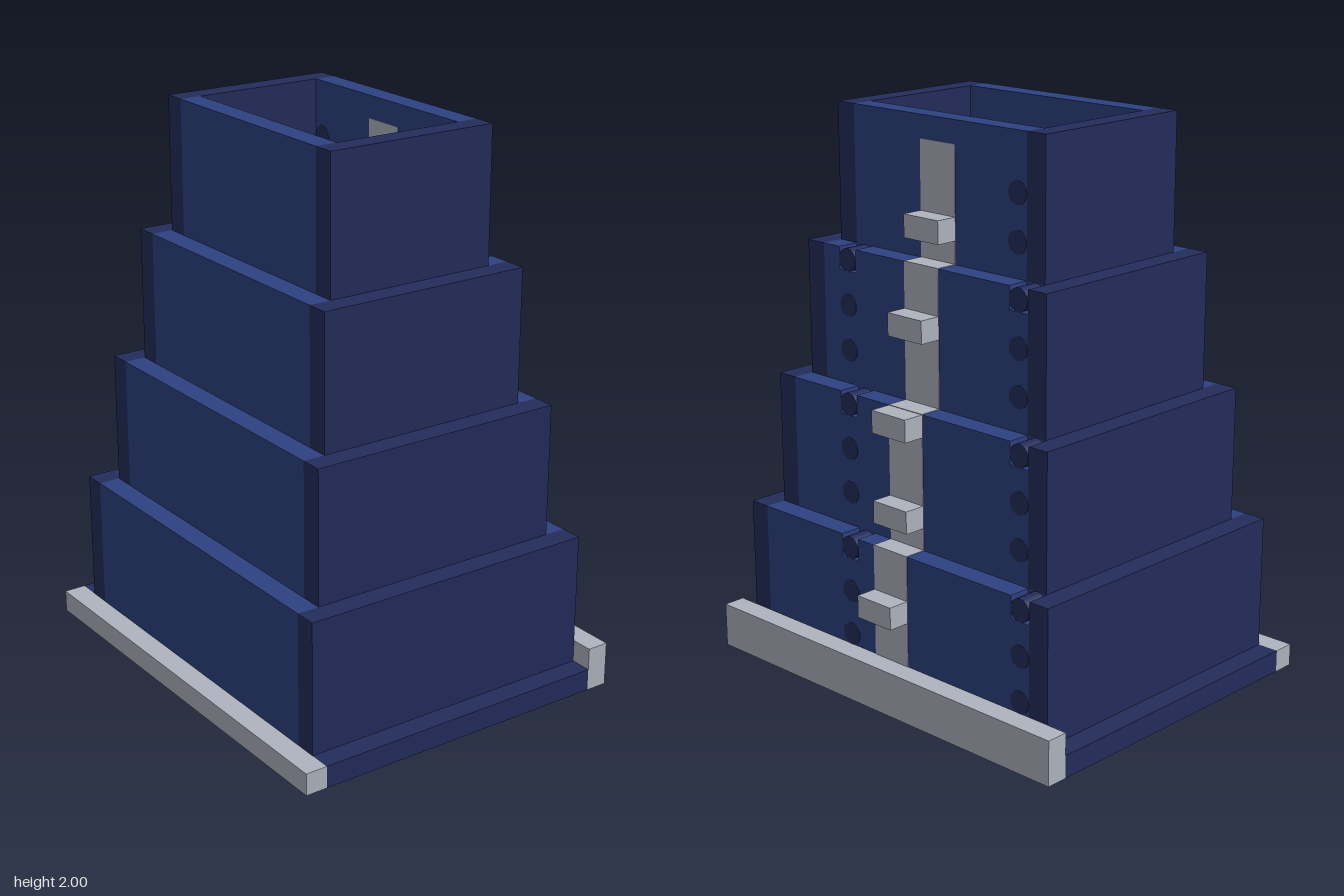
import * as THREE from 'three';

export function createModel() {
  const model = new THREE.Group();
  model.name = 'steppedTower';
  const mat = (name, color) => Object.assign(new THREE.MeshStandardMaterial({ color }), { name });
  const blue = mat('blue', 0x2d4182);
  const navy = mat('navy', 0x232c5b);
  const grey = mat('grey', 0xaeb4bf);
  const U = 0.08; // grid unit: wall thickness, rail depth, rod diameter
  const E = 0.002; // small overlap that lifts inlaid parts off the wall

  // Box given by its limits on each axis
  function box(name, material, x0, x1, y0, y1, z0, z1, parent = model) {
    const mesh = new THREE.Mesh(new THREE.BoxGeometry(x1 - x0, y1 - y0, z1 - z0), material);
    mesh.position.set((x0 + x1) / 2, (y0 + y1) / 2, (z0 + z1) / 2);
    mesh.name = name;
    parent.add(mesh);
  }

  // Rectangular ring with a rectangular opening, standing from y0 to y1
  function ring(name, material, hx, hz, ix, iz, y0, y1, parent = model) {
    const rect = (C, a, b) => new C([[-a, -b], [a, -b], [a, b], [-a, b]].map(p => new THREE.Vector2(...p)));
    const shape = rect(THREE.Shape, hx, hz);
    shape.holes.push(rect(THREE.Path, ix, iz));
    const geo = new THREE.ExtrudeGeometry(shape, { depth: y1 - y0, bevelEnabled: false });
    geo.rotateX(-Math.PI / 2);
    const mesh = new THREE.Mesh(geo, material);
    mesh.position.y = y0;
    mesh.name = name;
    parent.add(mesh);
  }

  // Base plate, shaft lining and rails
  ring('basePlate', navy, 0.8, 0.56, 0.405, 0.245, 0, U);
  ring('baseLining', blue, 0.405, 0.245, 0.4, 0.24, 0, U);
  box('frontRail', grey, -0.8, 0.8, 0, U, 0.56, 0.64);
  box('backRail', grey, -0.8, 0.8, 0, 2 * U, -0.64, -0.56);

  // Four tiers, each one unit narrower all round than the one below
  const rodGeo = new THREE.CylinderGeometry(U / 2, U / 2, U + 2 * E, 24).rotateX(Math.PI / 2);
  for (let i = 0; i < 4; i++) {
    const tier = new THREE.Group();
    tier.name = 'tier' + (i + 1);
    model.add(tier);
    const hx = 0.72 - i * U, hz = 0.56 - i * U;
    const ix = hx - U, iz = hz - U;
    const y0 = U + i * 0.48, y1 = y0 + 0.48;
    const last = i === 3;

    // Walls
    for (const s of [-1, 1]) {
      const c = s * (hx - U / 2);
      box('sideWall', navy, c - U / 2, c + U / 2, y0, y1, -hz, hz, tier);
    }
    box('frontWall', blue, -ix, ix, y0, y1, iz, hz, tier);
    box('backWall', blue, -ix, ix, y0, y1 - U, -hz, -iz, tier);
    if (!last) ring('core', blue, ix, iz, 0.4, 0.24, y0, y1, tier);

    // Top course of the back wall, open where a rod lies in it
    const slot = 0.16 + i * U;
    const spans = last ? [[-ix, ix]] : [[-ix + U, slot], [slot + U, ix]];
    for (const [a, b] of spans) box('backWallTop', blue, a, b, y1 - U, y1, -hz, -iz, tier);

    // Round rods through the back wall, in two columns
    const columns = last ? [-ix + U / 2] : [-ix + U / 2, slot + U / 2];
    for (const x of columns) {
      for (let k = last ? 1 : 0; k < 3; k++) {
        const rod = new THREE.Mesh(rodGeo, navy);
        rod.position.set(x, y1 - U / 2 - k * 2 * U, -hz + U / 2);
        rod.name = 'rod';
        tier.add(rod);
      }
    }

    // Grey strap set into the back wall
    box('strap', grey, -U, U, y0, last ? y1 - U : y1 + E, -hz - E, -iz + E, tier);
  }

  // Climbing steps on the strap
  [[0.32, 0.56], [0.64, 0.48], [0.96, 0.48], [1.28, 0.4], [1.6, 0.32]].forEach(([y, z]) =>
    box('step', grey, -U, U, y, y + U, -z - U, -z));

  return model;
}
